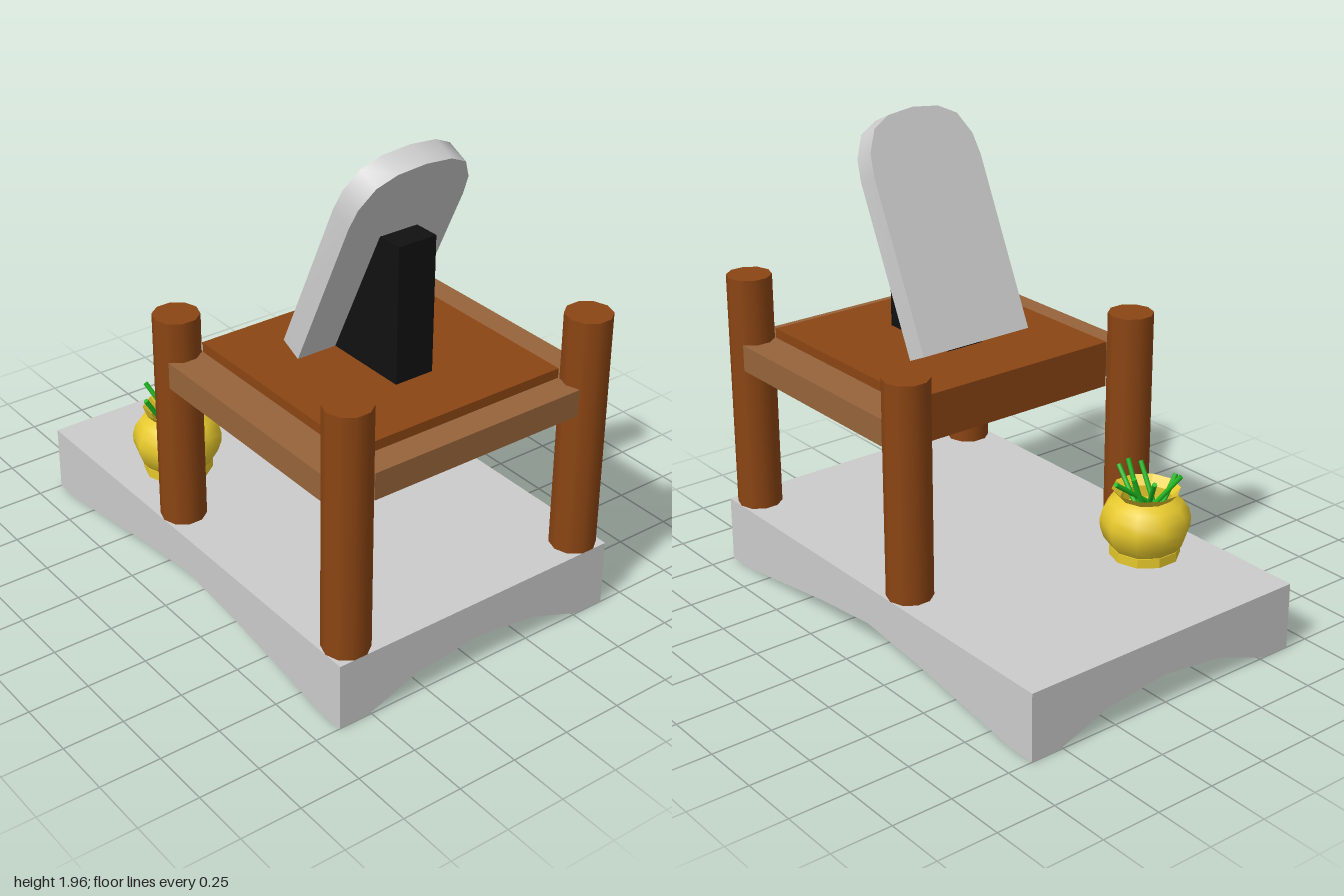
import * as THREE from 'three';
import { toCreasedNormals } from 'three/addons/utils/BufferGeometryUtils.js';

const mat = (color, extra = {}) => new THREE.MeshStandardMaterial({ color, ...extra });
const GREY = mat(0xcccccc), WOOD = mat(0x8b4513), RAIL = mat(0x96643a);
const BLACK = mat(0x111111), GREEN = mat(0x1fb81f);
const YELLOW = mat(0xe6c82c, { side: THREE.DoubleSide });
const YELLOW_FLAT = mat(0xe6c82c, { side: THREE.DoubleSide, flatShading: true });

function add(parent, name, geometry, material, x = 0, y = 0, z = 0) {
  const mesh = new THREE.Mesh(geometry, material);
  mesh.name = name;
  mesh.position.set(x, y, z);
  parent.add(mesh);
  return mesh;
}

// box given by its limits
function block(parent, name, material, [x0, x1], [y0, y1], [z0, z1]) {
  return add(parent, name, new THREE.BoxGeometry(x1 - x0, y1 - y0, z1 - z0), material,
    (x0 + x1) / 2, (y0 + y1) / 2, (z0 + z1) / 2);
}

// slab whose underside is vaulted along both axes
function baseGeometry() {
  const W = 1.29, H = 0.28, D = 2;
  const geo = new THREE.BoxGeometry(W, H, D, 6, 1, 6);
  const mirrored = ([a, b, c]) => [-a, -b, -c, 0, c, b, a];
  const xs = mirrored([0.645, 0.52, 0.29]), zs = mirrored([1, 0.88, 0.32]);
  const rise = [0, 0, 0.085, 0.12, 0.085, 0, 0];
  const pos = geo.attributes.position;
  for (let i = 0; i < pos.count; i++) {
    const ix = Math.round((pos.getX(i) / W + 0.5) * 6);
    const iz = Math.round((pos.getZ(i) / D + 0.5) * 6);
    const f = rise[ix], g = rise[iz];
    const y = pos.getY(i) > 0 ? H : f + g - f * g / 0.12;
    pos.setXYZ(i, xs[ix], y, zs[iz]);
  }
  return toCreasedNormals(geo, 0.6);
}

// upright tablet with a rounded top, its front bottom edge at the origin
function tabletGeometry() {
  const half = [[0.26, 0], [0.26, 0.72], [0.248, 0.81], [0.2, 0.9], [0.12, 0.942]];
  const outline = [...half, [0, 0.956], ...half.map(([x, y]) => [-x, y]).reverse()];
  const shape = new THREE.Shape(outline.map(([x, y]) => new THREE.Vector2(x, y)));
  const geo = new THREE.ExtrudeGeometry(shape, { depth: 0.1, bevelEnabled: false });
  return toCreasedNormals(geo.translate(0, 0, -0.1), 0.7);
}

function lathe(points) {
  return new THREE.LatheGeometry(points.map(([r, y]) => new THREE.Vector2(r, y)), 10)
    .rotateY(Math.PI / 2);
}

// thin rod between two points
function stem(parent, a, b) {
  const dir = b.clone().sub(a);
  const mid = a.clone().add(b).multiplyScalar(0.5);
  const mesh = add(parent, 'stem', new THREE.CylinderGeometry(0.01, 0.01, dir.length(), 8), GREEN,
    mid.x, mid.y, mid.z);
  mesh.quaternion.setFromUnitVectors(new THREE.Vector3(0, 1, 0), dir.normalize());
}

function pottedPlant() {
  const plant = new THREE.Group();
  plant.name = 'pottedPlant';
  add(plant, 'potFoot', lathe([[0, 0], [0.142, 0], [0.142, 0.04], [0.12, 0.045]]), YELLOW_FLAT);
  add(plant, 'potBelly', lathe([[0.135, 0.035], [0.165, 0.075], [0.18, 0.12], [0.182, 0.155],
    [0.172, 0.195], [0.148, 0.23], [0.108, 0.252]]), YELLOW);
  add(plant, 'potRim', lathe([[0.108, 0.252], [0.137, 0.285], [0.102, 0.25], [0.102, 0.2],
    [0, 0.2]]), YELLOW_FLAT);
  // stems: top x, top z, foot x, foot z, top height
  const stems = [
    [-0.115, -0.045, -0.03, -0.045, 0.33], [-0.065, -0.125, 0.005, -0.015, 0.36],
    [0.065, -0.115, -0.005, -0.005, 0.36], [0.11, -0.045, 0.04, -0.045, 0.37],
    [-0.045, 0.085, -0.045, -0.005, 0.36], [-0.005, 0.115, -0.005, 0.035, 0.37],
    [0.045, 0.115, 0.045, -0.015, 0.36], [0.14, 0.025, -0.055, 0.025, 0.33],
  ];
  for (const [tx, tz, fx, fz, h] of stems) {
    stem(plant, new THREE.Vector3(fx, 0.19, fz), new THREE.Vector3(tx, h, tz));
  }
  plant.position.set(-0.383, 0.28, -0.455);
  return plant;
}

export function createModel() {
  const model = new THREE.Group();
  model.name = 'chairOnPlinth';
  add(model, 'base', baseGeometry(), GREY);

  // posts and side rails
  for (const s of [-1, 1]) {
    for (const [name, z, top] of [['frontPost', 0.912, 1.285], ['backPost', -0.155, 1.175]]) {
      const h = top - 0.28;
      const geo = new THREE.CylinderGeometry(0.0925, 0.0925, h, 10).rotateY(Math.PI / 2);
      add(model, name, geo, WOOD, s * 0.5525, 0.28 + h / 2, z);
    }
    const xs = s > 0 ? [0.47, 0.628] : [-0.628, -0.47];
    block(model, 'sideRail', RAIL, xs, [0.9, 1.01], [-0.1, 0.86]);
  }
  block(model, 'frontRail', RAIL, [-0.475, 0.475], [0.9, 1.01], [0.84, 0.968]);
  block(model, 'seat', WOOD, [-0.475, 0.475], [0.86, 1.05], [-0.1, 0.853]);

  // leaning tablet and the wedge that holds it
  const tablet = add(model, 'tablet', tabletGeometry(), GREY, 0, 1.05, 0.222);
  tablet.rotation.x = THREE.MathUtils.degToRad(25);
  const profile = new THREE.Shape([[0.59, 1.05], [0.59, 1.607], [0.47, 1.607], [0.21, 1.05]]
    .map(([z, y]) => new THREE.Vector2(-z, y)));
  const wedge = new THREE.ExtrudeGeometry(profile, { depth: 0.17, bevelEnabled: false });
  add(model, 'wedge', wedge.translate(0, 0, -0.085).rotateY(Math.PI / 2), BLACK);

  model.add(pottedPlant());
  return model;
}
